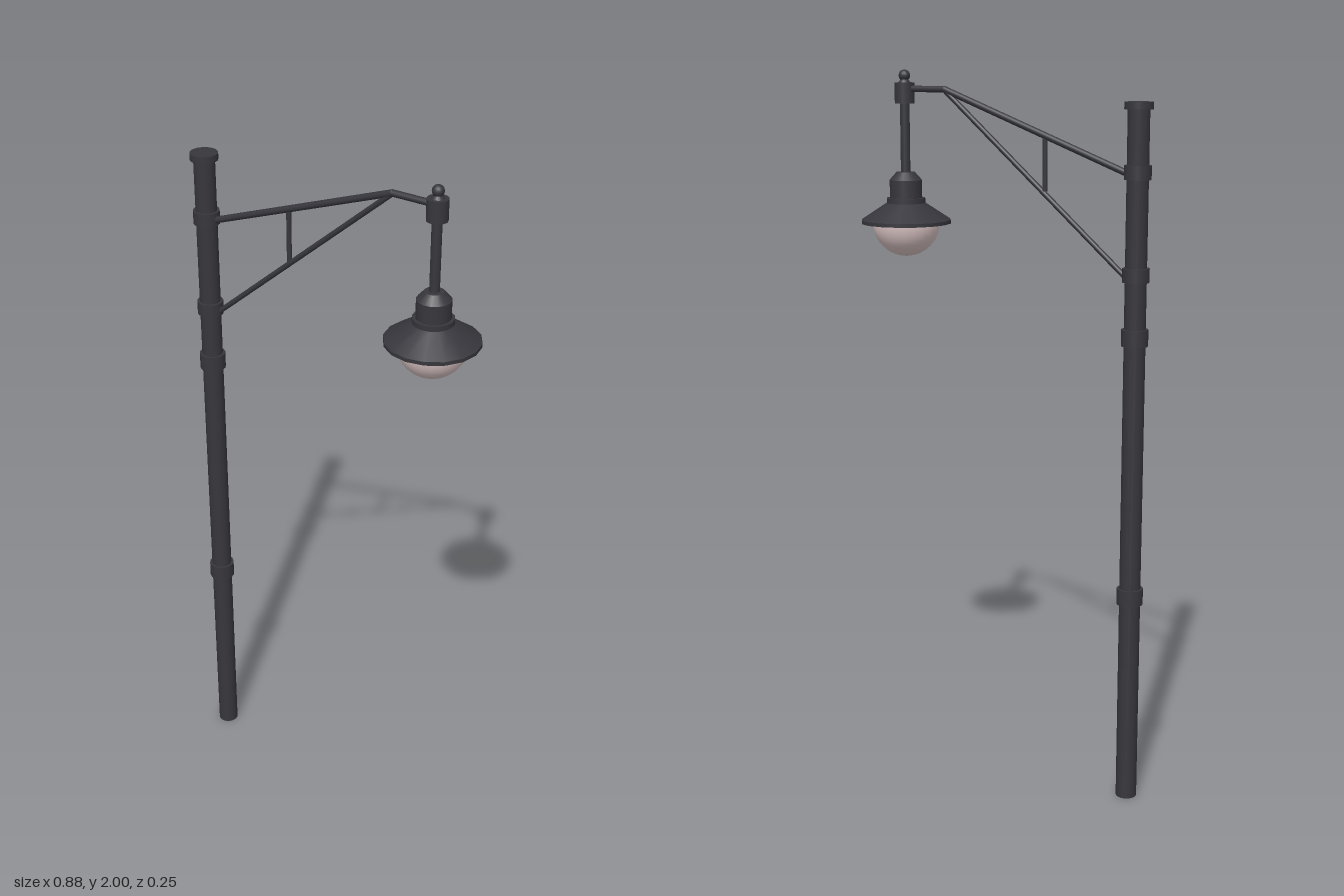
import * as THREE from 'three';

const iron = new THREE.MeshStandardMaterial({ color: 0x36363c });
iron.name = 'dark iron';
const glass = new THREE.MeshStandardMaterial({ color: 0xd9c3c3 });
glass.name = 'frosted glass';

const POST_X = -0.405, LAMP_X = 0.312;

function addMesh(parent, name, geometry, material = iron) {
  const mesh = new THREE.Mesh(geometry, material);
  mesh.name = name;
  parent.add(mesh);
  return mesh;
}

// Upright round section from y0 to y1, tapering from r0 to r1
function section(parent, name, x, y0, y1, r0, r1 = r0, sides = 16) {
  const mesh = addMesh(parent, name, new THREE.CylinderGeometry(r1, r0, y1 - y0, sides));
  mesh.position.set(x, (y0 + y1) / 2, 0);
}

// Straight round bar between two points in the z = 0 plane
function bar(parent, name, [x0, y0], [x1, y1], r) {
  const a = new THREE.Vector3(x0, y0, 0), b = new THREE.Vector3(x1, y1, 0);
  const dir = b.clone().sub(a);
  const mesh = addMesh(parent, name, new THREE.CylinderGeometry(r, r, dir.length(), 10));
  mesh.position.copy(a).add(b).multiplyScalar(0.5);
  mesh.quaternion.setFromUnitVectors(new THREE.Vector3(0, 1, 0), dir.normalize());
}

export function createModel() {
  const model = new THREE.Group();
  model.name = 'streetLamp';

  // Post with clamped collars and a flat cap
  const post = new THREE.Group();
  post.name = 'post';
  model.add(post);
  section(post, 'shaft', POST_X, 0, 1.91, 0.029);
  for (const [y0, y1] of [[0.57, 0.615], [1.29, 1.335], [1.46, 1.497], [1.727, 1.764]]) {
    section(post, 'collar', POST_X, y0, y1, 0.036);
  }
  section(post, 'cap', POST_X, 1.906, 1.925, 0.038);

  // Bracket: sloped arm, level tip, diagonal brace and strut
  const bracket = new THREE.Group();
  bracket.name = 'bracket';
  model.add(bracket);
  const elbow = [0.182, 1.948];
  bar(bracket, 'arm', [POST_X + 0.02, 1.738], elbow, 0.009);
  bar(bracket, 'armTip', elbow, [LAMP_X, 1.948], 0.009);
  addMesh(bracket, 'elbow', new THREE.SphereGeometry(0.009, 10, 8)).position.set(...elbow, 0);
  bar(bracket, 'brace', [POST_X + 0.02, 1.462], [0.178, 1.943], 0.0075);
  bar(bracket, 'strut', [-0.132, 1.685], [-0.132, 1.83], 0.007);

  // Lamp hanging from the tip
  const lamp = new THREE.Group();
  lamp.name = 'lamp';
  model.add(lamp);
  section(lamp, 'hub', LAMP_X, 1.908, 1.965, 0.028);
  section(lamp, 'finialNeck', LAMP_X, 1.962, 1.978, 0.019, 0.008);
  addMesh(lamp, 'finial', new THREE.SphereGeometry(0.016, 14, 10)).position.set(LAMP_X, 1.984, 0);
  section(lamp, 'stem', LAMP_X, 1.71, 1.91, 0.0135);
  section(lamp, 'shoulder', LAMP_X, 1.698, 1.72, 0.046, 0.026);
  section(lamp, 'neck', LAMP_X, 1.645, 1.698, 0.046);
  section(lamp, 'neckRing', LAMP_X, 1.632, 1.648, 0.055);
  section(lamp, 'shade', LAMP_X, 1.587, 1.634, 0.127, 0.055);
  section(lamp, 'shadeRim', LAMP_X, 1.577, 1.587, 0.127);

  // Half-round glass bowl below the shade
  const bowl = new THREE.SphereGeometry(0.095, 24, 12, 0, Math.PI * 2, Math.PI / 2, Math.PI / 2);
  addMesh(lamp, 'bowl', bowl, glass).position.set(LAMP_X, 1.58, 0);

  return model;
}
